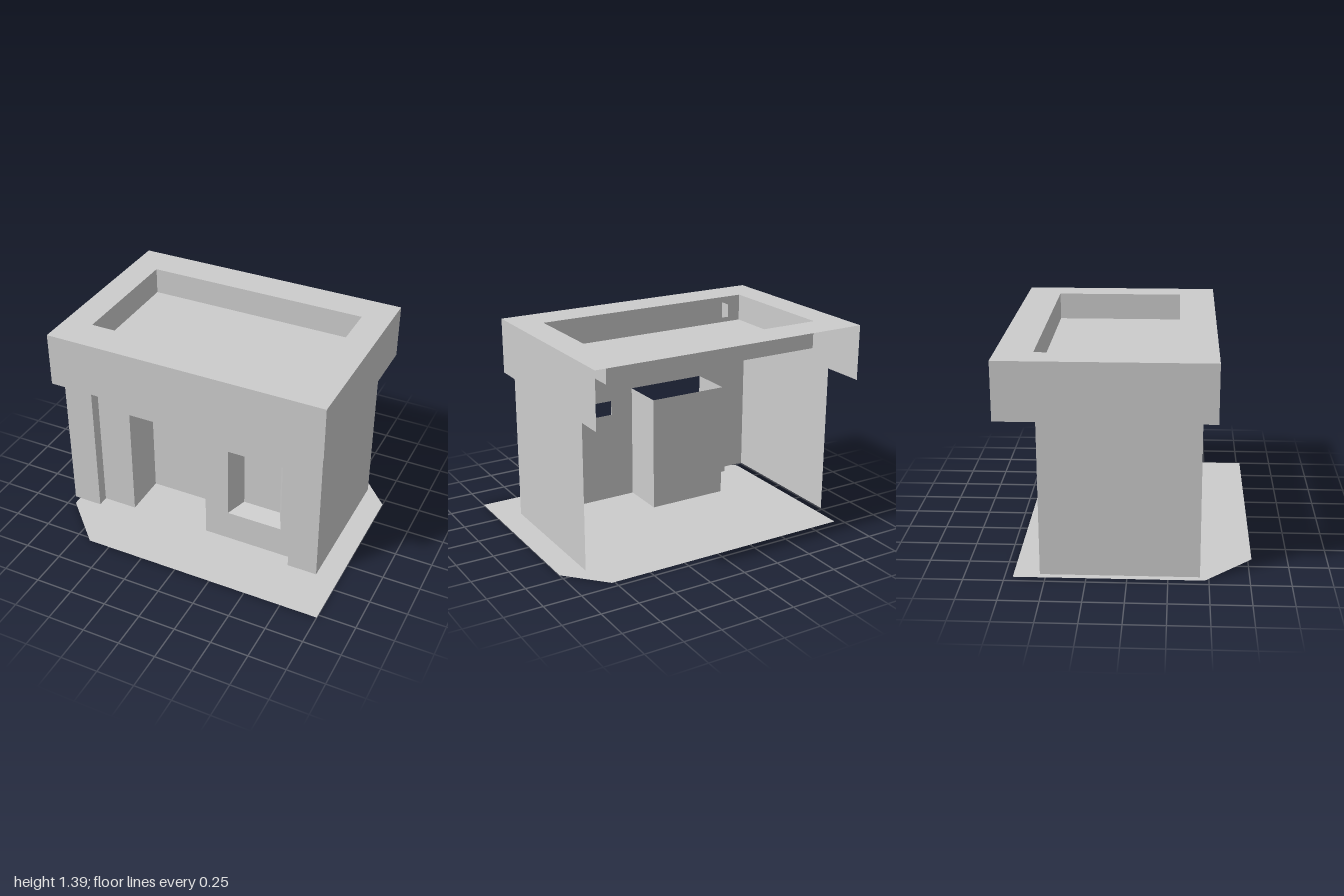
import * as THREE from 'three';

const plaster = new THREE.MeshStandardMaterial({ color: 0xcccccc, side: THREE.DoubleSide });
plaster.name = 'plaster grey';

const shapeFrom = (pts) => new THREE.Shape(pts.map(([x, y]) => new THREE.Vector2(x, y)));
const rect = (x0, y0, x1, y1) => [[x0, y0], [x1, y0], [x1, y1], [x0, y1]];

export function createModel() {
  const model = new THREE.Group();
  model.name = 'smallBuilding';

  function add(name, geometry) {
    const mesh = new THREE.Mesh(geometry, plaster);
    mesh.name = name;
    model.add(mesh);
    return mesh;
  }

  // Flat four-cornered panel, corners counter-clockwise seen from its front
  function panel(name, a, b, c, d) {
    const g = new THREE.BufferGeometry();
    g.setAttribute('position', new THREE.Float32BufferAttribute([a, b, c, d].flat(), 3));
    g.setIndex([0, 1, 2, 0, 2, 3]);
    g.computeVertexNormals();
    return add(name, g);
  }

  // Upright panel over a straight plan line from (xa, za) to (xb, zb)
  const wall = (name, xa, za, xb, zb, y0, y1) =>
    panel(name, [xa, y0, za], [xb, y0, zb], [xb, y1, zb], [xa, y1, za]);

  // Level sheet drawn in plan as [x, z], facing up
  function sheet(name, outline, y, hole) {
    const flip = (pts) => pts.map(([x, z]) => [x, -z]);
    const s = shapeFrom(flip(outline));
    if (hole) s.holes.push(shapeFrom(flip(hole)));
    const g = new THREE.ShapeGeometry(s);
    g.rotateX(-Math.PI / 2);
    add(name, g).position.y = y;
  }

  // Ground slab with two clipped corners
  sheet('ground', [[1, 0.775], [1, -0.45], [0.77, -0.7], [-0.95, -0.7], [-0.95, 0.475], [-0.65, 0.775]], 0);

  // Body: open at the back
  const base = 0.03, wallTop = 1.31, faceTop = 1.22;
  const left = 0.86, right = -0.965, back = -0.53, front = 0.445, face = 0.37;
  wall('leftWall', left, front, left, back, base, wallTop);
  wall('rightWall', right, back, right, front, base, wallTop);

  // Corner pilasters with their short returns to the recessed face
  const pl = 0.66, pr = -0.765;
  wall('leftPilaster', pl, front, left, front, base, wallTop);
  wall('leftPilasterReturn', pl, face, pl, front, base, wallTop);
  wall('rightPilaster', right, front, pr, front, base, wallTop);
  wall('rightPilasterReturn', pr, front, pr, face, base, wallTop);

  // Front face with a door notch and a window hole
  const d0 = -0.53, d1 = 0.025, doorTop = 0.815, doorZ = 0.07;
  const facade = shapeFrom([
    [pr, base], [d0, base], [d0, doorTop], [d1, doorTop], [d1, base],
    [pl, base], [pl, faceTop], [pr, faceTop],
  ]);
  facade.holes.push(shapeFrom(rect(0.19, 0.245, 0.57, 0.75)));
  add('frontWall', new THREE.ShapeGeometry(facade)).position.z = face;

  // Door recess
  wall('door', d0, doorZ, d1, doorZ, base, doorTop);
  wall('doorRightReveal', d0, face, d0, doorZ, base, doorTop);
  wall('doorLeftReveal', d1, doorZ, d1, face, base, doorTop);

  // Window recess, tapering inward, open above
  const outer = rect(0.19, 0.245, 0.57, 0.75).map(([x, y]) => [x, y, face]);
  const inner = rect(0.25, 0.27, 0.51, 0.7).map(([x, y]) => [x, y, 0.245]);
  panel('windowPane', ...inner);
  panel('windowSill', outer[0], outer[1], inner[1], inner[0]);
  panel('windowLeftReveal', outer[1], outer[2], inner[2], inner[1]);
  panel('windowRightReveal', outer[3], outer[0], inner[0], inner[3]);

  // Roof rim and its skirt on three sides
  const top = 1.39, skirt = 1.025, deck = 1.21;
  const rx0 = -1, rx1 = 0.895, rz0 = -0.78, rz1 = 0.535;
  const hx0 = -0.81, hx1 = 0.705, hz0 = -0.55, hz1 = 0.3;
  sheet('roofRim', rect(rx0, rz0, rx1, rz1), top, rect(hx0, hz0, hx1, hz1));
  wall('frontSkirt', rx0, rz1, rx1, rz1, skirt, top);
  wall('leftSkirt', rx1, rz1, rx1, rz0, skirt, top);
  wall('rightSkirt', rx0, rz0, rx0, rz1, skirt, top);

  // Sunken roof deck and the parapet sides around it
  sheet('roofDeck', rect(hx0, hz0, hx1, hz1), deck);
  wall('backParapet', hx0, hz0, hx1, hz0, deck, top);
  wall('leftParapet', hx1, hz0, hx1, hz1, deck, top);
  wall('rightParapet', hx0, hz1, hx0, hz0, deck, top);

  return model;
}
